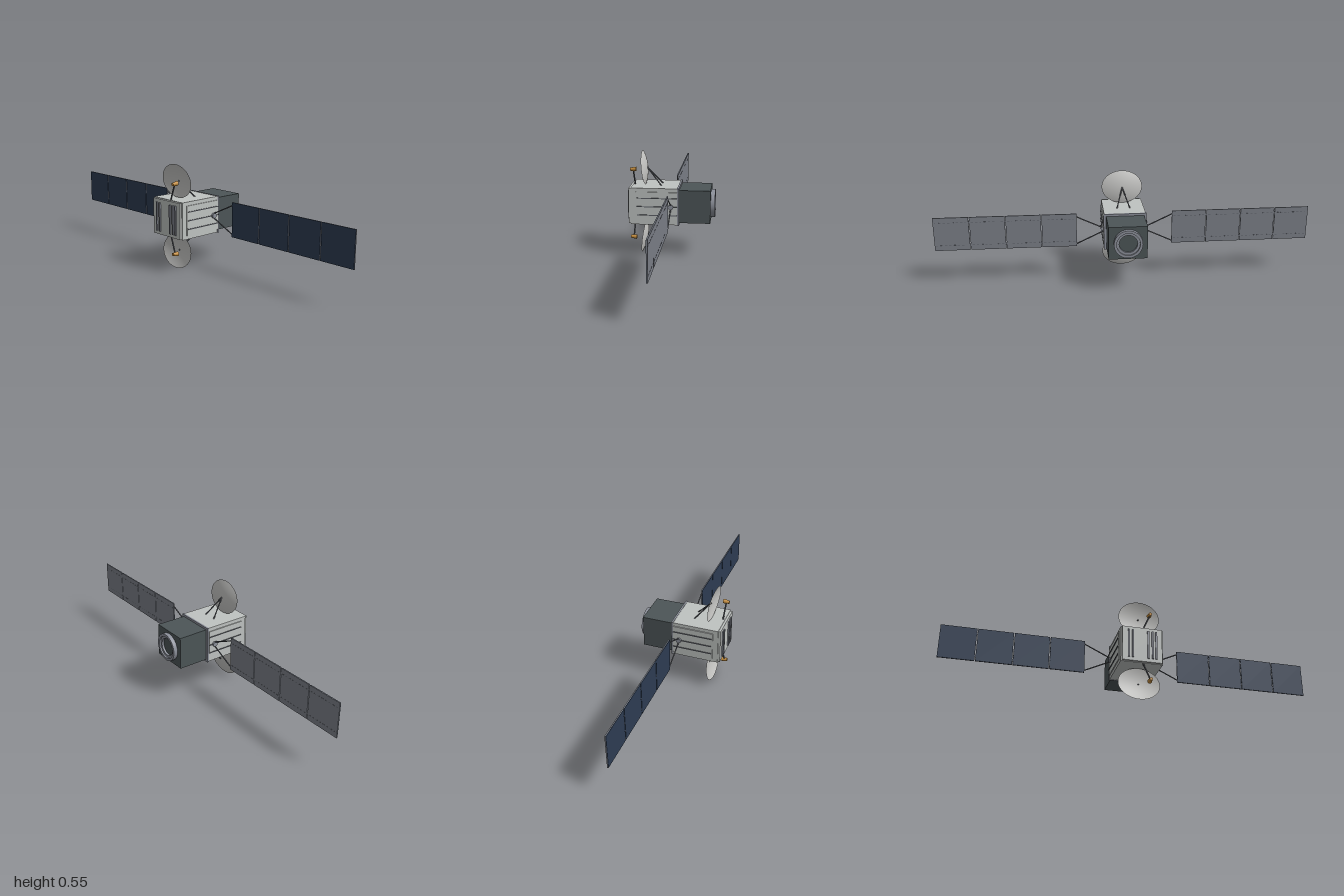
import * as THREE from 'three';

const CY = 0.278; // height of the main axis

function paint(name, color, doubleSided) {
  const m = new THREE.MeshStandardMaterial({ color });
  m.name = name;
  if (doubleSided) m.side = THREE.DoubleSide;
  return m;
}

export function createModel() {
  const mats = {
    body: paint('pale grey', 0xbfc3c1),
    metal: paint('blue grey metal', 0x8c909a),
    dark: paint('charcoal', 0x4c5557),
    strut: paint('dark strut', 0x5c5f66),
    cell: paint('navy cell', 0x2d3c52),
    back: paint('panel backing', 0x7b7f88),
    dish: paint('dish grey', 0xc4c4c2, true),
    gold: paint('gold', 0xc48d3e),
  };
  const root = new THREE.Group();
  root.name = 'satellite';

  const add = (name, geo, mat, x = 0, y = 0, z = 0, parent = root) => {
    const m = new THREE.Mesh(geo, mat);
    m.name = name;
    m.position.set(x, y, z);
    parent.add(m);
    return m;
  };
  const box = (name, w, h, d, mat, x, y, z, parent) =>
    add(name, new THREE.BoxGeometry(w, h, d), mat, x, y, z, parent);

  // Cylinder or cone running between two points
  const rod = (name, a, b, r, mat, parent, rEnd = r, sides = 10) => {
    const p = new THREE.Vector3(...a), q = new THREE.Vector3(...b);
    const dir = q.clone().sub(p);
    const m = add(name, new THREE.CylinderGeometry(rEnd, r, dir.length(), sides), mat, 0, 0, 0, parent);
    m.position.copy(p).add(q).multiplyScalar(0.5);
    m.quaternion.setFromUnitVectors(new THREE.Vector3(0, 1, 0), dir.normalize());
    return m;
  };

  // Main body, front plate and rear flange
  box('body', 0.22, 0.194, 0.246, mats.body, 0, CY, 0.087);
  box('frontPlate', 0.208, 0.188, 0.012, mats.body, 0, CY, 0.216);
  box('rearFlange', 0.226, 0.198, 0.01, mats.metal, 0, CY, -0.038);
  for (const x of [-0.072, -0.05, 0.03, 0.053, 0.072])
    box('frontRib', 0.009, 0.153, 0.007, mats.metal, x, CY, 0.2255);

  // Service module with a stepped nozzle ring
  box('serviceModule', 0.2, 0.174, 0.162, mats.dark, 0, CY, -0.124);
  const ringProfile = [
    [0.074, 0], [0.074, 0.022], [0.06, 0.022], [0.06, 0.014], [0.047, 0.014], [0.047, 0],
  ].map(p => new THREE.Vector2(...p));
  // separate bands keep the ring edges crisp
  for (let i = 0; i < ringProfile.length - 1; i++) {
    const band = new THREE.LatheGeometry([ringProfile[i], ringProfile[i + 1]], 40);
    add('nozzleRing', band, mats.metal, 0, CY, -0.205).rotation.x = -Math.PI / 2;
  }
  const nozzleCore = new THREE.CylinderGeometry(0.047, 0.047, 0.004, 32);
  add('nozzleCore', nozzleCore, mats.dark, 0, CY, -0.206).rotation.x = Math.PI / 2;

  for (const s of [-1, 1]) {
    const side = s > 0 ? 'left' : 'right';
    // Side radiator with horizontal ribs
    box(side + 'Radiator', 0.006, 0.155, 0.216, mats.body, s * 0.112, CY, 0.075);
    for (const dy of [-0.045, 0, 0.045])
      box(side + 'RadiatorRib', 0.005, 0.004, 0.21, mats.strut, s * 0.1165, CY + dy, 0.072);

    // Wing hub and forked yoke
    const wing = new THREE.Group();
    wing.name = side + 'Wing';
    root.add(wing);
    rod('hub', [s * 0.11, CY, 0], [s * 0.125, CY, 0], 0.0135, mats.metal, wing, 0.0135, 24);
    for (const v of [-1, 1])
      rod('yokeArm', [s * 0.115, CY + v * 0.01, 0], [s * 0.257, CY + v * 0.077, 0], 0.0032, mats.strut, wing);

    // Four solar panels, cells in front and backing behind
    const pitch = 0.187, w = 0.183, h = 0.182, py = 0.28;
    for (let i = 0; i < 4; i++) {
      const x = s * (0.254 + w / 2 + i * pitch);
      box('panelBacking', w, h, 0.005, mats.back, x, py, -0.0005, wing);
      box('panelCells', w - 0.001, h - 0.001, 0.002, mats.cell, x, py, 0.0028, wing);
      // Dashed stiffeners on the back
      for (const v of [-1, 1])
        for (let k = 0; k < 8; k++)
          box('stiffener', 0.012, 0.002, 0.001, mats.strut, x + (k - 3.5) * 0.022, py + v * 0.063, -0.0033, wing);
      // Hinges to the next panel
      if (i < 3)
        for (const v of [-1, 1])
          box('hinge', 0.008, 0.012, 0.003, mats.strut, x + s * pitch / 2, py + v * 0.063, -0.001, wing);
    }
  }

  for (const s of [-1, 1]) {
    const y = d => CY + s * d;
    const antenna = new THREE.Group();
    antenna.name = s > 0 ? 'upperAntenna' : 'lowerAntenna';
    root.add(antenna);

    // Shallow oval reflector tipped towards its feed
    const profile = [];
    for (let i = 0; i <= 10; i++) {
      const t = i / 10;
      profile.push(new THREE.Vector2(0.11 * t, 0.017 * t * t));
    }
    const dish = add('dish', new THREE.LatheGeometry(profile, 48), mats.dish, 0, y(0.189), 0.135, antenna);
    dish.scale.z = 0.805;
    dish.rotation.x = Math.PI / 2 + s * 0.113;

    // V-shaped support behind the reflector
    for (const x of [-0.036, 0.036])
      rod('dishStrut', [x, y(0.092), 0.053], [0, y(0.187), 0.136], 0.0032, mats.strut, antenna);

    // Feed arm and horn
    rod('feedArm', [0.008, y(0.094), 0.199], [0.045, y(0.182), 0.204], 0.004, mats.strut, antenna);
    rod('feedHorn', [0.045, y(0.183), 0.22], [0.045, y(0.185), 0.188], 0.008, mats.gold, antenna, 0.0118, 24);
  }

  return root;
}
